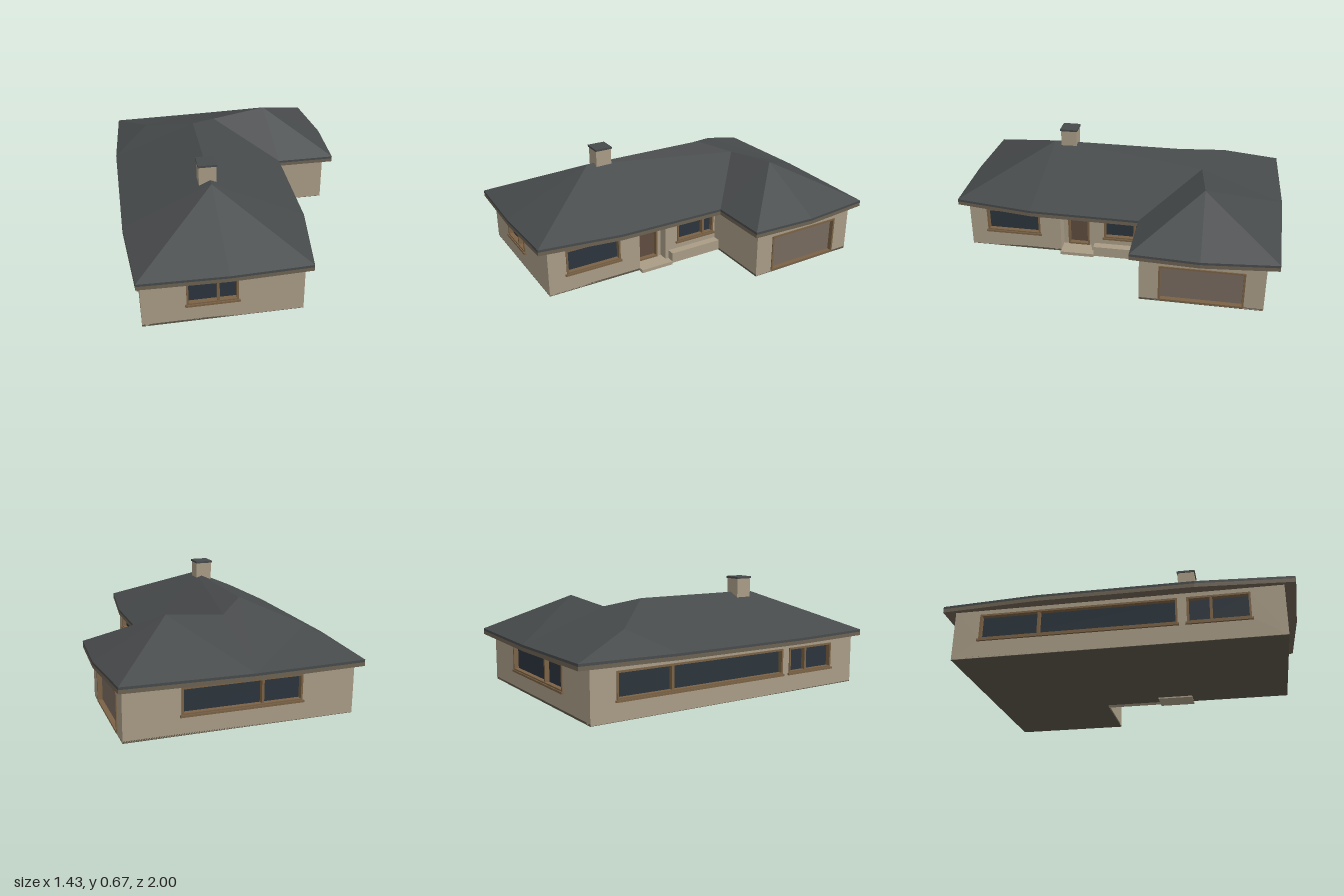
import * as THREE from 'three';

const mat = (color) => new THREE.MeshStandardMaterial({ color, flatShading: true, roughness: 0.9 });
const M = {
  wall: mat(0xa99c86), roof: mat(0x474a4b), fascia: mat(0x6c6253), frame: mat(0x7a6245),
  glass: mat(0x2b343c), door: mat(0x5f4c3f), garage: mat(0x776a5e), floor: mat(0x5c5648),
};

function add(parent, name, geometry, material, x = 0, y = 0, z = 0) {
  const mesh = new THREE.Mesh(geometry, material);
  mesh.name = name;
  mesh.position.set(x, y, z);
  parent.add(mesh);
  return mesh;
}

// box given by its min and max corners
function block(parent, name, material, [x0, y0, z0], [x1, y1, z1]) {
  return add(parent, name, new THREE.BoxGeometry(x1 - x0, y1 - y0, z1 - z0), material,
    (x0 + x1) / 2, (y0 + y1) / 2, (z0 + z1) / 2);
}

const rect = (C, x0, x1, y0, y1) => new C([[x0, y0], [x1, y0], [x1, y1], [x0, y1]]
  .map(([x, y]) => new THREE.Vector2(x, y)));
const extrude = (shape, depth) => new THREE.ExtrudeGeometry(shape, { depth, bevelEnabled: false });

// horizontal slab from a plan outline of [x, z] points, top at the given height
function slab(parent, name, points, top, thickness, material) {
  const g = extrude(new THREE.Shape(points.map(([x, z]) => new THREE.Vector2(x, z))), thickness);
  g.rotateX(Math.PI / 2);
  return add(parent, name, g, material, 0, top, 0);
}

// wall panel from a to b with its outside on local +z; openings are framed and filled
function wall(parent, name, a, b, openings = []) {
  const g = new THREE.Group();
  g.name = name;
  const dx = b[0] - a[0], dz = b[1] - a[1];
  g.position.set(a[0], 0, a[1]);
  g.rotation.y = Math.atan2(-dz, dx);
  const shape = rect(THREE.Shape, 0, Math.hypot(dx, dz), 0.01, 0.315);
  for (const { kind, u0, u1, y0, y1, bars = [] } of openings) {
    shape.holes.push(rect(THREE.Path, u0, u1, y0, y1));
    const t = 0.011;
    const ring = rect(THREE.Shape, u0, u1, y0, y1);
    ring.holes.push(rect(THREE.Path, u0 + t, u1 - t, y0 + t, y1 - t));
    add(g, kind + 'Frame', extrude(ring, 0.028), M.frame, 0, 0, -0.022);
    block(g, kind + 'Panel', M[kind], [u0, y0, -0.036], [u1, y1, -0.024]);
    for (const u of bars) block(g, 'mullion', M.frame, [u - 0.007, y0, -0.026], [u + 0.007, y1, 0.002]);
    if (kind === 'glass') block(g, 'sill', M.frame, [u0 - 0.008, y0 - 0.01, -0.02], [u1 + 0.008, y0 + 0.002, 0.012]);
  }
  add(g, 'wallPanel', extrude(shape, 0.04), M.wall, 0, 0, -0.04);
  parent.add(g);
}

// fan-shaped roof planes, each triangle turned to face upward
function roofGeometry(fans) {
  const pos = [];
  for (const f of fans) {
    for (let i = 1; i < f.length - 1; i++) {
      const [p, q, r] = [f[0], f[i], f[i + 1]];
      const up = (q[2] - p[2]) * (r[0] - p[0]) - (q[0] - p[0]) * (r[2] - p[2]);
      pos.push(...p, ...(up > 0 ? [...q, ...r] : [...r, ...q]));
    }
  }
  const g = new THREE.BufferGeometry();
  g.setAttribute('position', new THREE.Float32BufferAttribute(pos, 3));
  g.computeVertexNormals();
  return g;
}

export function createModel() {
  const house = new THREE.Group();
  house.name = 'house';

  // walls, in order around the L-shaped plan
  const plan = [[-0.66, 0.92], [0.22, 0.92], [0.22, 0.34], [0.14, 0.34], [0.14, 0.15], [0.2, 0.15],
    [0.2, -0.21], [0.64, -0.21], [0.64, -0.91], [-0.66, -0.91]];
  const win = (u0, u1, bars) => ({ kind: 'glass', u0, u1, y0: 0.12, y1: 0.272, bars });
  const walls = [
    ['frontWall', [win(0.24, 0.52, [0.41])]],
    ['sideWall', [win(0.11, 0.45)]],
    ['porchFrontWall'],
    ['porchWall', [{ kind: 'door', u0: 0.03, u1: 0.165, y0: 0.02, y1: 0.275 }]],
    ['porchBackWall'],
    ['courtWall', [win(0.08, 0.345, [0.27])]],
    ['wingFrontWall'],
    ['garageWall', [{ kind: 'garage', u0: 0.11, u1: 0.59, y0: 0.016, y1: 0.245 }]],
    ['backWall', [win(0.31, 0.99, [0.76])]],
    ['longWall', [win(0.15, 1.26, [0.49]), win(1.31, 1.65, [1.44])]],
  ];
  walls.forEach(([name, openings], i) => wall(house, name, plan[i], plan[(i + 1) % plan.length], openings));
  slab(house, 'floor', plan, 0.02, 0.012, M.floor);

  // porch step and low planter beside it
  block(house, 'porchStep', M.wall, [0.12, 0, 0.13], [0.25, 0.02, 0.34]);
  block(house, 'planter', M.wall, [0.18, 0.01, -0.22], [0.25, 0.075, 0.13]);

  // eaves
  const Y = 0.335;
  const eave = [[-0.68, 0.98], [-0.2, 0.995], [0.25, 0.98], [0.32, 0.5], [0.33, -0.16], [0.69, -0.16],
    [0.71, -0.55], [0.67, -0.975], [-0.04, -1], [-0.68, -0.98], [-0.72, -0.42], [-0.72, 0.45]];
  slab(house, 'fascia', eave, Y - 0.014, 0.022, M.fascia);
  slab(house, 'roofEdge', eave, Y, 0.014, M.roof);

  // roof: main ridge, hip knee, valley top and wing peak
  const E = eave.map(([x, z]) => [x, Y, z]);
  const front = [-0.21, 0.57, 0.46], back = [-0.21, 0.57, -0.34];
  const knee = [-0.5, 0.452, -0.62], valley = [-0.05, 0.517, -0.5], peak = [0.3, 0.555, -0.54];
  const fans = [
    [front, E[0], E[1], E[2]],
    [front, E[2], E[3]],
    [front, E[3], E[4], valley, back],
    [peak, valley, E[4], E[5]],
    [peak, E[5], E[6], E[7]],
    [peak, E[7], E[8], valley],
    [back, valley, E[8], knee],
    [knee, E[8], E[9]],
    [knee, E[9], E[10]],
    [back, knee, E[10]],
    [back, E[10], E[11], front],
    [front, E[11], E[0]],
  ];
  add(house, 'roof', roofGeometry(fans), M.roof);

  // chimney
  block(house, 'chimney', M.wall, [-0.275, 0.5, 0.315], [-0.175, 0.655, 0.415]);
  block(house, 'chimneyCap', M.roof, [-0.28, 0.655, 0.31], [-0.17, 0.667, 0.42]);

  return house;
}
